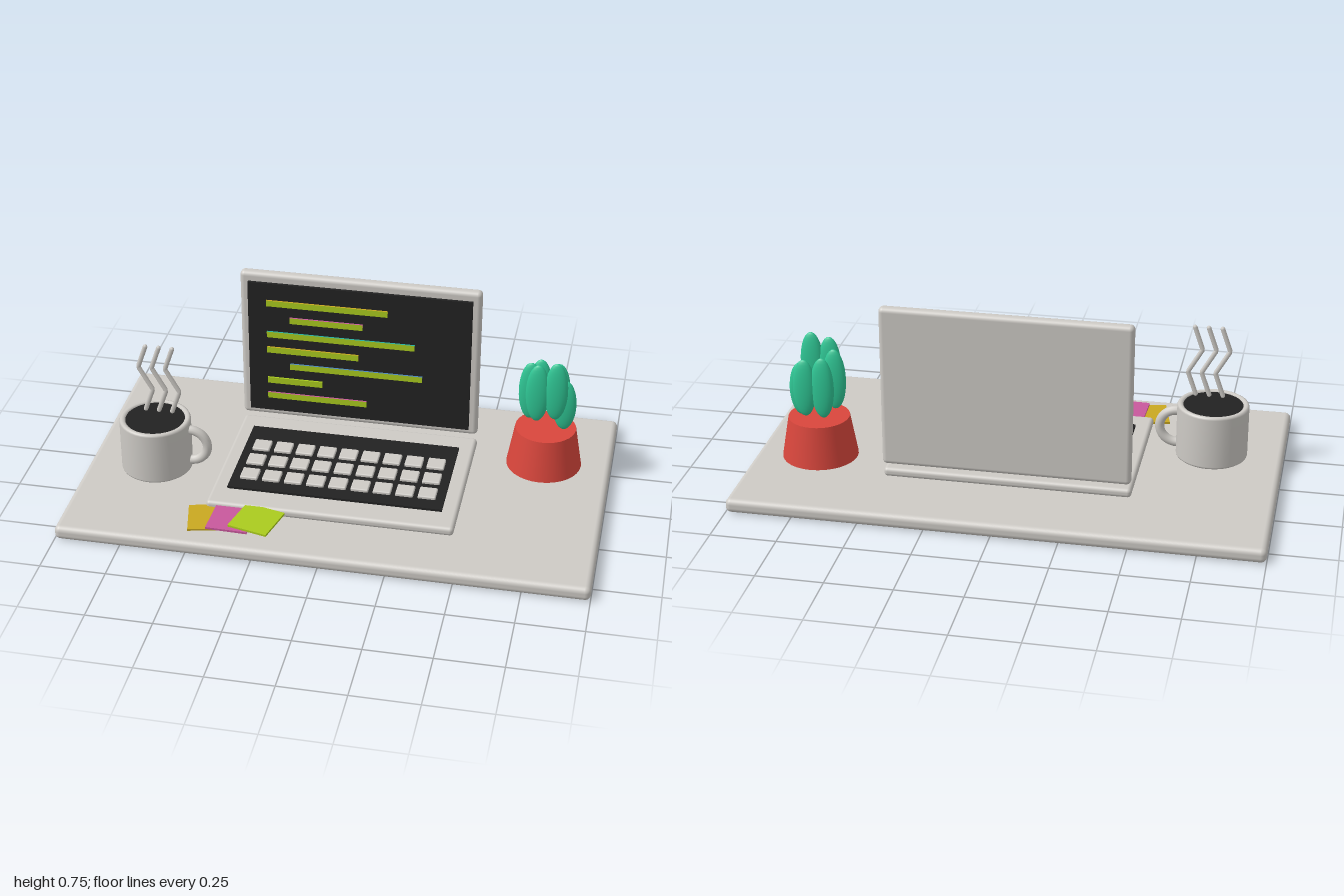
import * as THREE from 'three';
import { RoundedBoxGeometry } from 'three/addons/geometries/RoundedBoxGeometry.js';

const mat = (name, color) => {
  const m = new THREE.MeshStandardMaterial({ color });
  m.name = name;
  return m;
};

export function createModel() {
  const grey = mat('warm grey', 0xcdcac5);
  const dark = mat('near black', 0x222222);
  const red = mat('terracotta red', 0xd9463c);
  const green = mat('cactus green', 0x2fc795);
  const mustard = mat('mustard', 0xc9a820);
  const pink = mat('pink', 0xc8589c);
  const lime = mat('lime', 0xaacb1e);
  const teal = mat('teal', 0x25b0a0);
  const blue = mat('blue', 0x4a86c0);

  const model = new THREE.Group();
  model.name = 'deskScene';

  const group = (name, x = 0, y = 0, z = 0) => {
    const g = new THREE.Group();
    g.name = name;
    g.position.set(x, y, z);
    model.add(g);
    return g;
  };
  const add = (parent, name, geometry, material, x = 0, y = 0, z = 0) => {
    const mesh = new THREE.Mesh(geometry, material);
    mesh.name = name;
    mesh.position.set(x, y, z);
    parent.add(mesh);
    return mesh;
  };

  // Desk slab
  add(model, 'deskTop', new RoundedBoxGeometry(2, 0.056, 1.165, 4, 0.022), grey, 0, 0.028, 0);

  // Laptop base, dark keyboard bed and 9 x 3 keys
  const laptop = group('laptop');
  add(laptop, 'laptopBase', new RoundedBoxGeometry(0.942, 0.036, 0.64, 4, 0.015), grey, -0.002, 0.073, 0.035);
  add(laptop, 'keyboardBed', new THREE.BoxGeometry(0.824, 0.012, 0.438), dark, -0.002, 0.094, 0.033);
  const keyGeometry = new RoundedBoxGeometry(0.068, 0.018, 0.068, 2, 0.005);
  for (let row = 0; row < 3; row++) {
    for (let col = 0; col < 9; col++) {
      add(laptop, 'key', keyGeometry, grey, -0.002 + (col - 4) * 0.086, 0.102, -0.045 + row * 0.102);
    }
  }

  // Laptop lid and display
  add(laptop, 'laptopLid', new RoundedBoxGeometry(0.942, 0.634, 0.044, 4, 0.018), grey, -0.002, 0.433, -0.28);
  add(laptop, 'display', new THREE.BoxGeometry(0.876, 0.567, 0.014), dark, -0.002, 0.43, -0.253);

  // Lines on the display: start x, end x, edge colour; the faces are lime
  const lines = [
    [-0.366, 0.11, mustard], [-0.275, 0.013, pink], [-0.366, 0.217, teal],
    [-0.366, -0.003, mustard], [-0.275, 0.249, blue], [-0.366, -0.147, lime],
    [-0.366, 0.03, pink],
  ];
  lines.forEach(([a, b, edge], i) => {
    add(laptop, 'screenLine', new THREE.BoxGeometry(b - a, 0.025, 0.008),
      [edge, edge, edge, edge, lime, edge], (a + b) / 2, 0.631 - i * 0.0687, -0.243);
  });

  // Mug with rounded rim, filled with coffee
  const mug = group('mug', -0.728, 0.07, 0.112);
  const mugProfile = [
    [0, 0], [0.13, 0], [0.135, 0.004], [0.137, 0.01], [0.137, 0.206], [0.134, 0.213],
    [0.128, 0.216], [0.12, 0.215], [0.114, 0.21], [0.113, 0.195],
  ].map(([x, y]) => new THREE.Vector2(x, y));
  add(mug, 'mugBody', new THREE.LatheGeometry(mugProfile, 40), grey);
  add(mug, 'coffee', new THREE.CylinderGeometry(0.114, 0.114, 0.01, 40), dark, 0, 0.205, 0);
  const handle = add(mug, 'mugHandle', new THREE.TorusGeometry(0.067, 0.018, 12, 24, Math.PI), grey, 0.136, 0.107, 0);
  handle.rotation.z = -Math.PI / 2;

  // Three zigzag wisps of steam
  const zigzag = new THREE.CurvePath();
  const bends = [[-0.034, 0.25], [-0.002, 0.34], [-0.055, 0.434], [-0.023, 0.524]]
    .map(([x, y]) => new THREE.Vector3(x, y, 0));
  for (let i = 0; i < 3; i++) zigzag.add(new THREE.LineCurve3(bends[i], bends[i + 1]));
  const steamGeometry = new THREE.TubeGeometry(zigzag, 36, 0.009, 8, false);
  const steamCap = new THREE.SphereGeometry(0.009, 8, 6);
  for (let i = 0; i < 3; i++) {
    const x = i * 0.052;
    add(mug, 'steam', steamGeometry, grey, x, 0, 0);
    for (const p of [bends[0], bends[3]]) add(mug, 'steamEnd', steamCap, grey, p.x + x, p.y, 0);
  }

  // Fanned paper notes
  const notes = group('notes');
  [[-0.442, 0.066, 0.42, 0.22, mustard], [-0.355, 0.075, 0.425, -0.03, pink],
    [-0.26, 0.085, 0.427, -0.24, lime]].forEach(([x, y, z, turn, material]) => {
    add(notes, 'paperNote', new THREE.BoxGeometry(0.158, 0.008, 0.158), material, x, y, z).rotation.y = turn;
  });

  // Pot and cactus pads
  const plant = group('plant', 0.743, 0, -0.182);
  add(plant, 'pot', new THREE.CylinderGeometry(0.117, 0.145, 0.163, 32), red, 0, 0.158, 0);
  const padGeometry = new THREE.SphereGeometry(1, 24, 16);
  // x, centre height, z, half height
  [[-0.034, 0.42, 0.056, 0.122], [0.036, 0.434, 0.056, 0.122],
    [-0.066, 0.395, 0, 0.122], [0.067, 0.345, 0, 0.107],
    [-0.034, 0.38, -0.056, 0.122], [0.036, 0.375, -0.056, 0.115]].forEach(([x, y, z, h]) => {
    add(plant, 'cactusPad', padGeometry, green, x, y, z).scale.set(0.045, h, 0.02);
  });

  return model;
}
